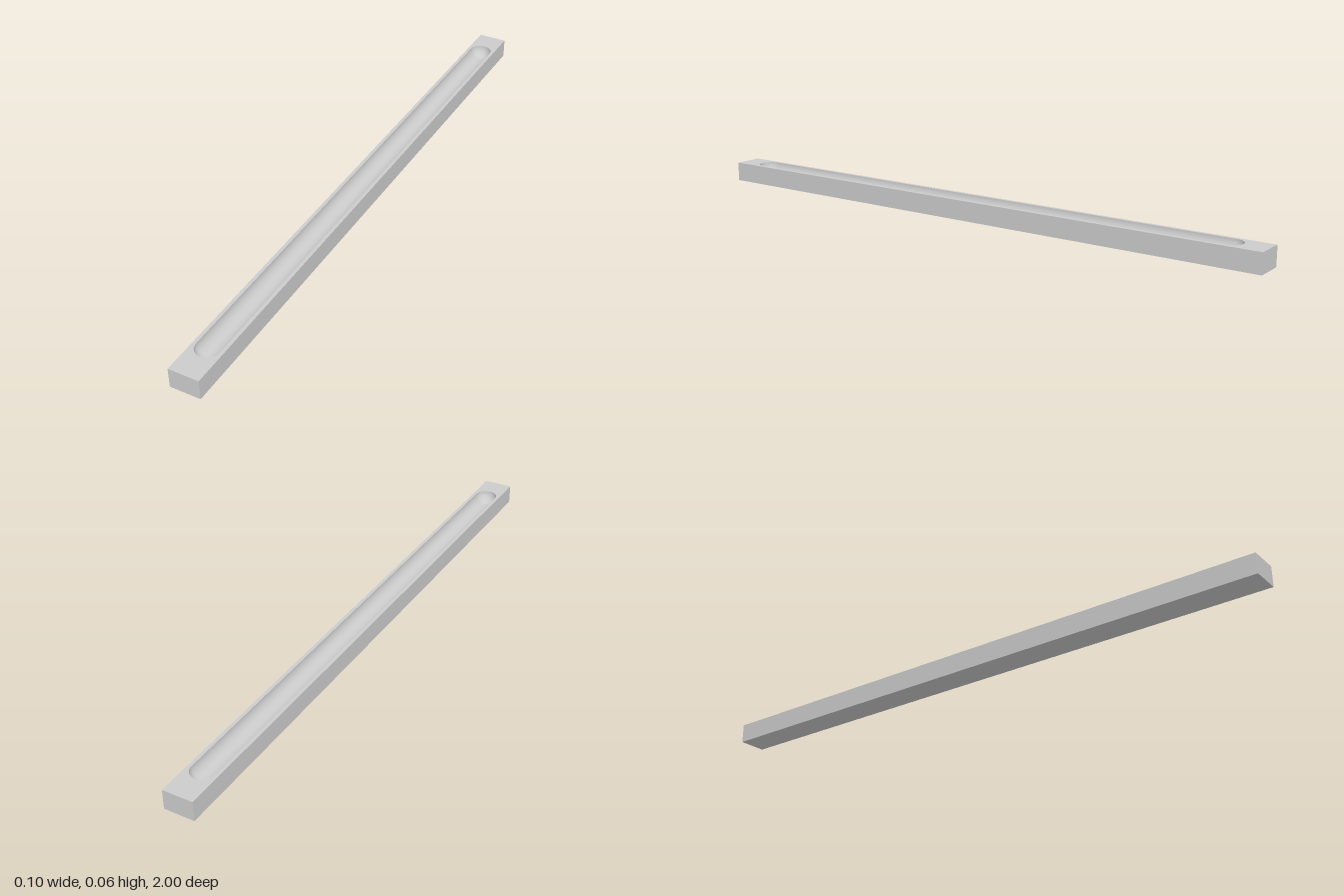
import * as THREE from 'three';
import { mergeGeometries } from 'three/addons/utils/BufferGeometryUtils.js';

const WIDTH = 0.096, HEIGHT = 0.064, LENGTH = 2;
const RADIUS = 0.037;              // groove radius
const STRAIGHT = 0.924 - RADIUS;   // half length of the groove's straight part
const SEG = 24;

// Turn a surface inside out so it is seen from within.
function turnInward(geometry) {
  const index = geometry.index.array;
  for (let i = 0; i < index.length; i += 3) [index[i], index[i + 1]] = [index[i + 1], index[i]];
  const normals = geometry.attributes.normal.array;
  for (let i = 0; i < normals.length; i++) normals[i] *= -1;
  return geometry;
}

export function createModel() {
  const group = new THREE.Group();
  group.name = 'groovedBar';
  const material = new THREE.MeshStandardMaterial({ color: 0xcccccc });
  const add = (name, geometry) => {
    const mesh = new THREE.Mesh(geometry, material);
    mesh.name = name;
    group.add(mesh);
    return mesh;
  };

  // Bar: a box without its top face
  const box = new THREE.BoxGeometry(WIDTH, HEIGHT, LENGTH);
  box.setIndex(Array.from(box.index.array).filter((_, i) => i < 12 || i >= 18));
  box.clearGroups();
  add('barSides', box).position.y = HEIGHT / 2;

  // Top face with a round-ended opening
  const w = WIDTH / 2, l = LENGTH / 2;
  const top = new THREE.Shape().moveTo(-w, -l).lineTo(w, -l).lineTo(w, l).lineTo(-w, l).closePath();
  const opening = new THREE.Path();
  opening.absarc(0, STRAIGHT, RADIUS, 0, Math.PI);
  opening.absarc(0, -STRAIGHT, RADIUS, Math.PI, Math.PI * 2);
  opening.closePath();
  top.holes.push(opening);
  add('topFace', new THREE.ShapeGeometry(top, SEG).rotateX(-Math.PI / 2)).position.y = HEIGHT;

  // Groove: half-round channel closed by a quarter sphere at each end
  const channel = new THREE.CylinderGeometry(
    RADIUS, RADIUS, STRAIGHT * 2, SEG, 1, true, -Math.PI / 2, Math.PI).rotateX(Math.PI / 2);
  const ends = [0, Math.PI].map((turn) =>
    new THREE.SphereGeometry(RADIUS, SEG, SEG / 2, 0, Math.PI, Math.PI / 2, Math.PI / 2)
      .translate(0, 0, STRAIGHT).rotateY(turn));
  add('groove', turnInward(mergeGeometries([channel, ...ends]))).position.y = HEIGHT;

  return group;
}
